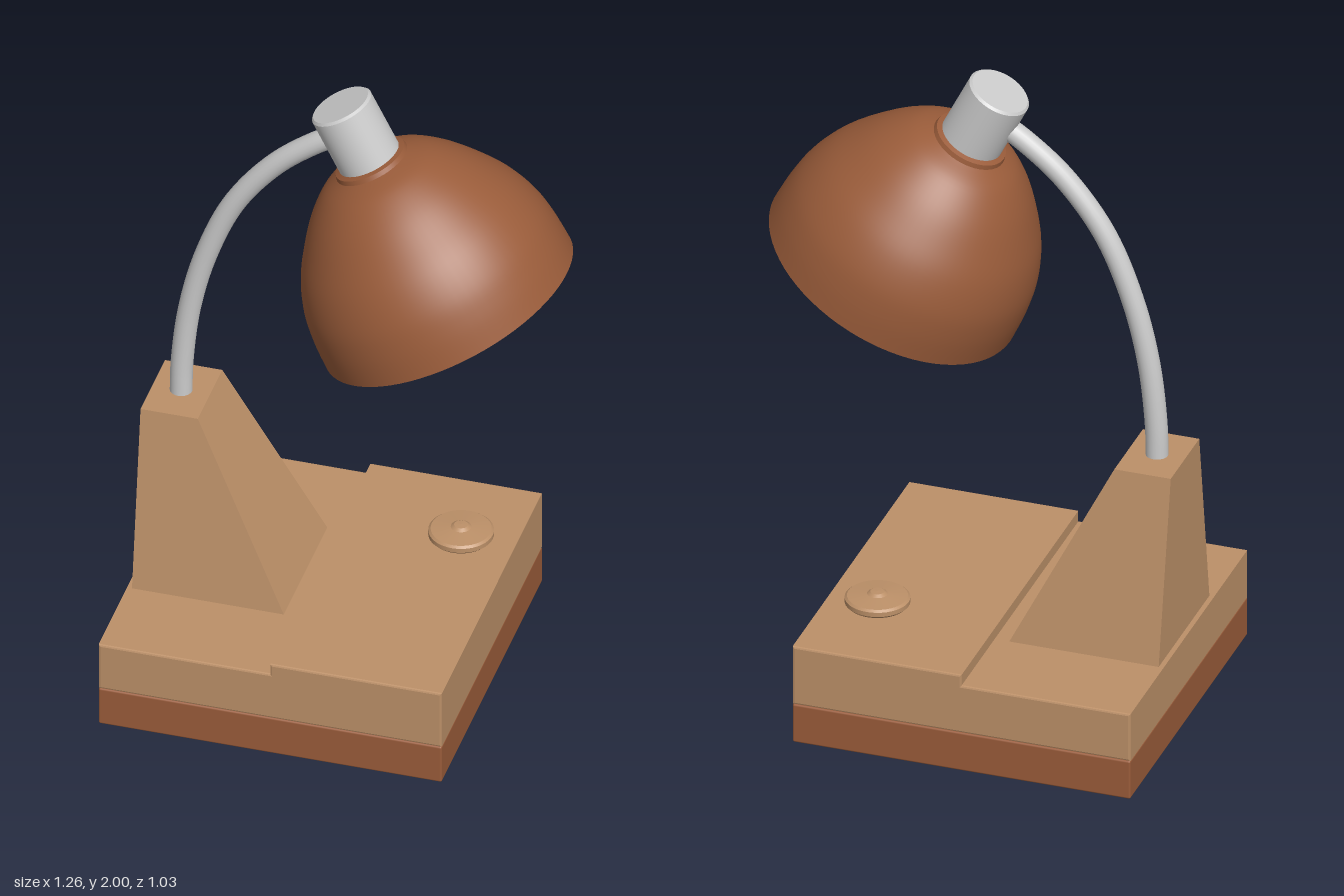
import * as THREE from 'three';
import { RoundedBoxGeometry } from 'three/addons/geometries/RoundedBoxGeometry.js';

const mat = (color) => new THREE.MeshStandardMaterial({ color });
const v2 = (pts) => pts.map(([x, y]) => new THREE.Vector2(x, y));

function add(parent, name, geometry, material, x = 0, y = 0, z = 0) {
  const mesh = new THREE.Mesh(geometry, material);
  mesh.name = name;
  mesh.position.set(x, y, z);
  parent.add(mesh);
  return mesh;
}

// Lathe from straight segments, each with its own hard edges
function turned(profile, segments = 40) {
  const pts = profile.flatMap((p, i) => (i > 0 && i < profile.length - 1 ? [p, p] : [p]));
  return new THREE.LatheGeometry(v2(pts), segments);
}

// Box between two x ranges and half depths, wide at the bottom
function pillarGeometry(height, bottom, top) {
  const g = new THREE.BoxGeometry(1, height, 1).toNonIndexed();
  const p = g.attributes.position;
  for (let i = 0; i < p.count; i++) {
    const s = p.getY(i) > 0 ? top : bottom;
    p.setX(i, p.getX(i) < 0 ? s.x0 : s.x1);
    p.setZ(i, Math.sign(p.getZ(i)) * s.z);
  }
  g.computeVertexNormals();
  return g;
}

export function createModel() {
  const lamp = new THREE.Group();
  lamp.name = 'deskLamp';
  const tan = mat(0xbc9068);
  const brown = mat(0x9a5c3a);
  const grey = mat(0xcccccc);

  // Base: brown plinth and a stepped tan top
  add(lamp, 'plinth', new RoundedBoxGeometry(1.03, 0.125, 1.03, 2, 0.006), brown, -0.115, 0.0625, 0);
  const step = new THREE.Shape(v2([
    [-0.624, 0.131], [0.394, 0.131], [0.394, 0.309], [-0.109, 0.309], [-0.109, 0.274], [-0.624, 0.274],
  ]));
  const stepGeometry = new THREE.ExtrudeGeometry(step, {
    depth: 1.018, bevelThickness: 0.006, bevelSize: 0.006, bevelSegments: 2,
  });
  add(lamp, 'baseTop', stepGeometry, tan, 0, 0, -0.509);

  // Tapered pillar
  add(lamp, 'pillar', pillarGeometry(0.575,
    { x0: -0.615, x1: -0.157, z: 0.223 },
    { x0: -0.618, x1: -0.446, z: 0.125 }), tan, 0, 0.5625, 0);

  // Control knob
  const knob = new THREE.Group();
  knob.name = 'knob';
  knob.position.set(0.242, 0.31, -0.223);
  lamp.add(knob);
  add(knob, 'knobStem', new THREE.CylinderGeometry(0.045, 0.045, 0.04, 32), grey, 0, 0.015, 0);
  add(knob, 'knobDisc', turned([
    [0, 0.023], [0.088, 0.023], [0.095, 0.03], [0.095, 0.044], [0.088, 0.05],
    [0.03, 0.056], [0.02, 0.063], [0, 0.064],
  ]), tan);

  // Curved neck
  const path = new THREE.CatmullRomCurve3([
    [-0.533, 0.83], [-0.53, 0.95], [-0.507, 1.15], [-0.457, 1.35], [-0.372, 1.55],
    [-0.25, 1.71], [-0.13, 1.81], [-0.04, 1.865],
  ].map(([x, y]) => new THREE.Vector3(x, y, 0)));
  add(lamp, 'neck', new THREE.TubeGeometry(path, 48, 0.033, 20), grey);

  // Head: its local y axis runs from the rim centre up to the socket
  const head = new THREE.Group();
  head.name = 'head';
  head.position.set(0.27, 1.32, 0);
  head.rotation.z = 0.469;
  lamp.add(head);

  const dome = new THREE.SplineCurve(v2([
    [0.398, 0], [0.394, 0.09], [0.38, 0.175], [0.346, 0.263], [0.295, 0.345],
    [0.237, 0.42], [0.172, 0.48], [0.108, 0.513],
  ])).getPoints(36);
  add(head, 'shadeOuter', new THREE.LatheGeometry(dome, 72), brown);
  const lining = dome.map((p) => new THREE.Vector2(p.x - 0.008, Math.max(p.y - 0.008, 0)));
  lining.push(new THREE.Vector2(0, 0.505));
  add(head, 'shadeLining', new THREE.LatheGeometry(lining.reverse(), 72), grey);
  const rim = new THREE.RingGeometry(0.389, 0.398, 72).rotateX(Math.PI / 2);
  add(head, 'shadeRim', rim, brown);
  add(head, 'collar', turned([[0.115, 0.505], [0.11, 0.524], [0.09, 0.53]], 48), brown);

  // Socket cap and bulb
  add(head, 'socket', turned([
    [0, 0.49], [0.095, 0.49], [0.095, 0.711], [0.088, 0.718], [0, 0.718],
  ], 48), grey);
  add(head, 'bulbNeck', new THREE.CylinderGeometry(0.06, 0.06, 0.14, 32), grey, 0, 0.45, 0);
  add(head, 'bulb', new THREE.SphereGeometry(0.115, 32, 24), grey, 0, 0.315, 0);

  return lamp;
}
